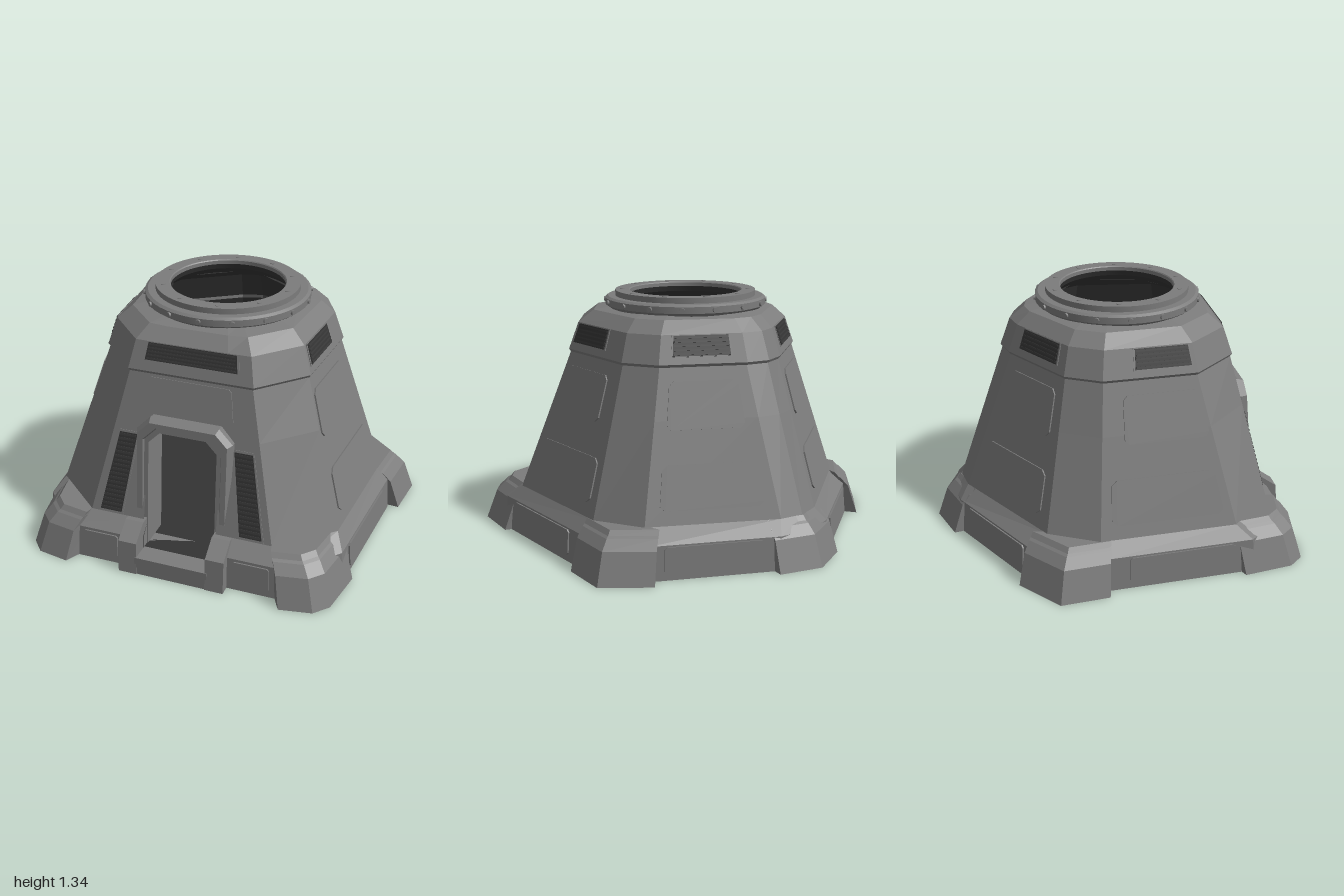
import * as THREE from 'three';
import { toCreasedNormals } from 'three/addons/utils/BufferGeometryUtils.js';

const CZ = 0.055; // z of the building's vertical axis

const mat = (name, color, side = THREE.FrontSide) => {
  const m = new THREE.MeshStandardMaterial({ color, side });
  m.name = name;
  return m;
};

// Flat-faced skin over a stack of equal-length rings, counter-clockwise seen from the end
function loft(rings, { start = true, end = true, skip = () => false } = {}) {
  const pos = [];
  const tri = (...p) => p.forEach(v => pos.push(...v));
  const n = rings[0].length;
  for (let i = 0; i < rings.length - 1; i++) {
    for (let j = 0; j < n; j++) {
      if (skip(i, j)) continue;
      const k = (j + 1) % n;
      const [a, b, c, d] = [rings[i][j], rings[i][k], rings[i + 1][k], rings[i + 1][j]];
      tri(a, b, c);
      tri(a, c, d);
    }
  }
  const first = rings[0], last = rings[rings.length - 1];
  for (let j = 1; j < n - 1; j++) {
    if (start) tri(first[0], first[j + 1], first[j]);
    if (end) tri(last[0], last[j], last[j + 1]);
  }
  const g = new THREE.BufferGeometry();
  g.setAttribute('position', new THREE.Float32BufferAttribute(pos, 3));
  g.computeVertexNormals();
  return g;
}

// Full plan from its +x half; the last point of the half lies on the centre line
const whole = half => [...half, ...half.slice(0, -1).map(([x, z]) => [-x, z]).reverse()];
// Plan at a height, scaled about the axis
const ring = (plan, y, s = 1) => plan.map(([x, z]) => [x * s, y, CZ + (z - CZ) * s]);
const circle = (plan, y, r) => plan.map(([x, z]) => {
  const d = Math.hypot(x, z - CZ);
  return [x / d * r, y, CZ + (z - CZ) / d * r];
});
const mirrorRing = r => r.map(([x, y, z]) => [-x, y, z]).reverse();
const mix = (a, b, t) => a.map((v, i) => v + (b[i] - v) * t);

export function createModel() {
  const body = mat('wall grey', 0x7c7c7c);
  const dark = mat('interior dark grey', 0x343434, THREE.DoubleSide);
  const grille = mat('grille dark grey', 0x3a3a3a);
  const model = new THREE.Group();
  const add = (name, geo, material = body, parent = model) => {
    const m = new THREE.Mesh(geo, material);
    m.name = name;
    parent.add(m);
    return m;
  };

  // Plans: door jamb, front corner, side front, side back, back side, back corner, apex
  const plinth = whole([[0.2, 0.89], [0.62, 0.89], [0.84, 0.65], [0.91, -0.12], [0.78, -0.5], [0.18, -0.86], [0, -0.9]]);
  const low = whole([[0.2, 0.8], [0.5, 0.8], [0.78, 0.56], [0.84, -0.16], [0.72, -0.42], [0.13, -0.8], [0, -0.83]]);
  const high = whole([[0.2, 0.61], [0.33, 0.61], [0.55, 0.38], [0.59, -0.11], [0.5, -0.29], [0.12, -0.535], [0, -0.57]]);

  // Shell with an open doorway, and a dark lining inside it
  const P0 = ring(plinth, 0), P1 = ring(plinth, 0.18, 0.985);
  const W0 = ring(low, 0.25), W1 = ring(high, 1.01);
  const B0 = ring(high, 1.025, 1.015), B1 = ring(high, 1.17, 0.93);
  const door = W0.map((p, i) => mix(p, W1[i], 0.66));
  const circleEdge = circle(high, 1.235, 0.47);
  const roofEdge = ring(high, 1.235, 0.83).map((p, i) => mix(p, circleEdge[i], 0.35));
  const shell = [P0, P1, W0, door, W1, B0, B1, roofEdge, circle(high, 1.255, 0.38)];
  const doorway = (i, j) => i < 3 && j === 12;
  add('shell', loft(shell, { end: false, skip: doorway }));
  const inner = shell.map(r => r.map(([x, y, z]) => [x * 0.95, y - 0.01, CZ + (z - CZ) * 0.95]));
  inner[0] = ring(plinth, 0.02, 0.95);
  add('lining', loft(inner, { start: false, end: false, skip: doorway }), dark);
  add('floor', loft([ring(plinth, 0.09, 0.93), ring(plinth, 0.1, 0.93)]), dark);

  // Thin chamfered plate on the face between corners a and b of two rings
  function plate(lo, hi, a, b, [u0, u1, v0, v1], t, cut = 0) {
    const at = (u, v) => new THREE.Vector3(...mix(mix(lo[a], lo[b], u), mix(hi[a], hi[b], u), v));
    const n = at(1, 0.5).sub(at(0, 0.5)).cross(at(0.5, 1).sub(at(0.5, 0))).normalize();
    const cu = cut / at(0, 0.5).distanceTo(at(1, 0.5));
    const cv = cut / at(0.5, 0).distanceTo(at(0.5, 1));
    const outline = cut ? [
      [u0 + cu, v0], [u1 - cu, v0], [u1, v0 + cv], [u1, v1 - cv],
      [u1 - cu, v1], [u0 + cu, v1], [u0, v1 - cv], [u0, v0 + cv],
    ] : [[u0, v0], [u1, v0], [u1, v1], [u0, v1]];
    const level = h => outline.map(([u, v]) => at(u, v).addScaledVector(n, h).toArray());
    return loft([level(-0.004), level(t)]);
  }

  // Louvred vent: border, dark back and slats
  function vent(name, lo, hi, a, b, [u0, u1, v0, v1], slats, du, dv) {
    const g = new THREE.Group();
    g.name = name;
    model.add(g);
    add('ventBorder', plate(lo, hi, a, b, [u0 - du, u1 + du, v0 - dv, v1 + dv], 0.004), body, g);
    add('ventBack', plate(lo, hi, a, b, [u0, u1, v0, v1], 0.007), dark, g);
    const step = (v1 - v0) / slats;
    for (let i = 0; i < slats; i++) {
      const v = v0 + step * (i + 0.3);
      add('ventSlat', plate(lo, hi, a, b, [u0 + du / 2, u1 - du / 2, v, v + step * 0.45], 0.011), grille, g);
    }
  }

  // Vents in the upper band, one on each face
  vent('frontBandVent', B0, B1, 11, 1, [0.12, 0.88, 0.38, 0.97], 5, 0.02, 0.03);
  vent('leftBandVent', B0, B1, 2, 3, [0.06, 0.66, 0.27, 0.96], 5, 0.02, 0.03);
  vent('rightBandVent', B0, B1, 9, 10, [0.34, 0.94, 0.27, 0.96], 5, 0.02, 0.03);
  vent('backLeftBandVent', B0, B1, 4, 5, [0.15, 0.82, 0.27, 0.96], 5, 0.02, 0.03);
  vent('backRightBandVent', B0, B1, 7, 8, [0.18, 0.85, 0.27, 0.96], 5, 0.02, 0.03);
  // Tall vents beside the door
  vent('rightDoorVent', W0, W1, 11, 1, [0.05, 0.17, 0.02, 0.58], 18, 0.01, 0.015);
  vent('leftDoorVent', W0, W1, 11, 1, [0.83, 0.95, 0.02, 0.58], 18, 0.01, 0.015);

  // Wall and plinth panels: face corners, then lower and upper panel extents
  const faces = [
    [2, 3, [0.07, 0.92], [0.03, 0.8]], [9, 10, [0.08, 0.93], [0.2, 0.97]],
    [4, 5, [0.1, 0.9], [0.12, 0.86]], [7, 8, [0.1, 0.9], [0.14, 0.88]],
  ];
  for (const [a, b, lower, upper] of faces) {
    add('lowerWallPanel', plate(W0, W1, a, b, [...lower, 0.09, 0.38], 0.008, 0.025));
    add('upperWallPanel', plate(W0, W1, a, b, [...upper, 0.6, 0.91], 0.008, 0.025));
    add('plinthPanel', plate(P0, P1, a, b, [0.13, 0.87, 0.2, 0.95], 0.008, 0.012));
  }
  add('panelAboveDoor', plate(W0, W1, 11, 1, [0.17, 0.83, 0.75, 0.98], 0.006, 0.015));
  for (const u of [0.08, 0.76]) add('frontPlinthPanel', plate(P0, P1, 11, 1, [u, u + 0.16, 0.2, 0.92], 0.008, 0.01));

  // Foot blocks at the five corners: outer points slope inward, inner points stay in the wall
  function foot(outer, innerPts) {
    const levels = [[0, 1], [0.165, 0.945], [0.215, 0.9], [0.225, 0.885], [0.25, 0.865]];
    return levels.map(([y, s]) => [...ring(outer, y, s), ...ring(innerPts, y)]);
  }
  const frontFoot = foot([[0.59, 0.965], [0.76, 0.935], [0.83, 0.86], [0.88, 0.6]], [[0.755, 0.545], [0.5, 0.8]]);
  const sideFoot = foot([[0.968, -0.13], [1, -0.385], [0.79, -0.575]], [[0.7, -0.42], [0.825, -0.14]]);
  const backFoot = foot([[0.225, -0.89], [0, -0.975], [-0.225, -0.89]], [[-0.19, -0.745], [0, -0.8], [0.19, -0.745]]);
  add('frontLeftFoot', loft(frontFoot));
  add('frontRightFoot', loft(frontFoot.map(mirrorRing)));
  add('leftFoot', loft(sideFoot));
  add('rightFoot', loft(sideFoot.map(mirrorRing)));
  add('backFoot', loft(backFoot));

  // Door frame with clipped upper corners
  function arch(wo, ho, wi, hi, depth, bevel) {
    const pts = (w, h, c) => [[-w, 0.08], [-w, h - c], [c - w, h], [w - c, h], [w, h - c], [w, 0.08]];
    const outline = [...pts(wo, ho, 0.075), ...pts(wi, hi, 0.06).reverse()];
    const shape = new THREE.Shape(outline.map(p => new THREE.Vector2(...p)));
    return new THREE.ExtrudeGeometry(shape, {
      depth, bevelEnabled: bevel > 0, bevelSegments: 1, bevelThickness: bevel * 2, bevelSize: bevel, bevelOffset: -bevel,
    });
  }
  for (const [name, geo] of [['doorFrame', arch(0.26, 0.8, 0.195, 0.74, 0.15, 0.018)], ['doorTrim', arch(0.225, 0.765, 0.185, 0.73, 0.175, 0)]]) {
    const m = add(name, geo);
    m.position.z = 0.63;
    m.rotation.x = -0.1;
  }

  // Doorstep and the buttresses beside it
  add('doorstep', new THREE.BoxGeometry(0.4, 0.1, 0.24)).position.set(0, 0.05, 0.82);
  for (const s of [-1, 1]) {
    const level = (y, z) => [[-0.05, 0.7], [-0.05, z], [0.05, z], [0.05, 0.7]].map(([x, pz]) => [s * 0.24 + x, y, pz]);
    add(s > 0 ? 'leftButtress' : 'rightButtress', loft([level(0, 0.945), level(0.18, 0.93), level(0.25, 0.83)]));
  }

  // Round collar, its dark throat and its bolts
  const lathe = pts => toCreasedNormals(new THREE.LatheGeometry(pts.map(p => new THREE.Vector2(...p)), 56), 0.5);
  const collar = [[0.4, 1.225], [0.425, 1.25], [0.44, 1.26], [0.44, 1.295], [0.425, 1.305], [0.385, 1.305],
    [0.385, 1.335], [0.31, 1.335], [0.305, 1.33], [0.305, 1.31]];
  add('collar', lathe(collar)).position.z = CZ;
  add('collarThroat', lathe([[0.305, 1.31], [0.315, 1.28], [0.365, 1.235]]), dark).position.z = CZ;
  const bolt = new THREE.CylinderGeometry(0.013, 0.015, 0.018, 8);
  for (let i = 0; i < 16; i++) {
    const a = i / 16 * Math.PI * 2;
    const m = add('rimBolt', bolt);
    m.position.set(Math.sin(a) * 0.44, 1.278, CZ + Math.cos(a) * 0.44);
    m.rotation.set(Math.PI / 2, a, 0, 'YXZ');
  }
  for (let i = 0; i < 10; i++) {
    const a = (i + 0.3) / 10 * Math.PI * 2;
    add('topBolt', bolt).position.set(Math.sin(a) * 0.345, 1.329, CZ + Math.cos(a) * 0.345);
  }
  return model;
}
